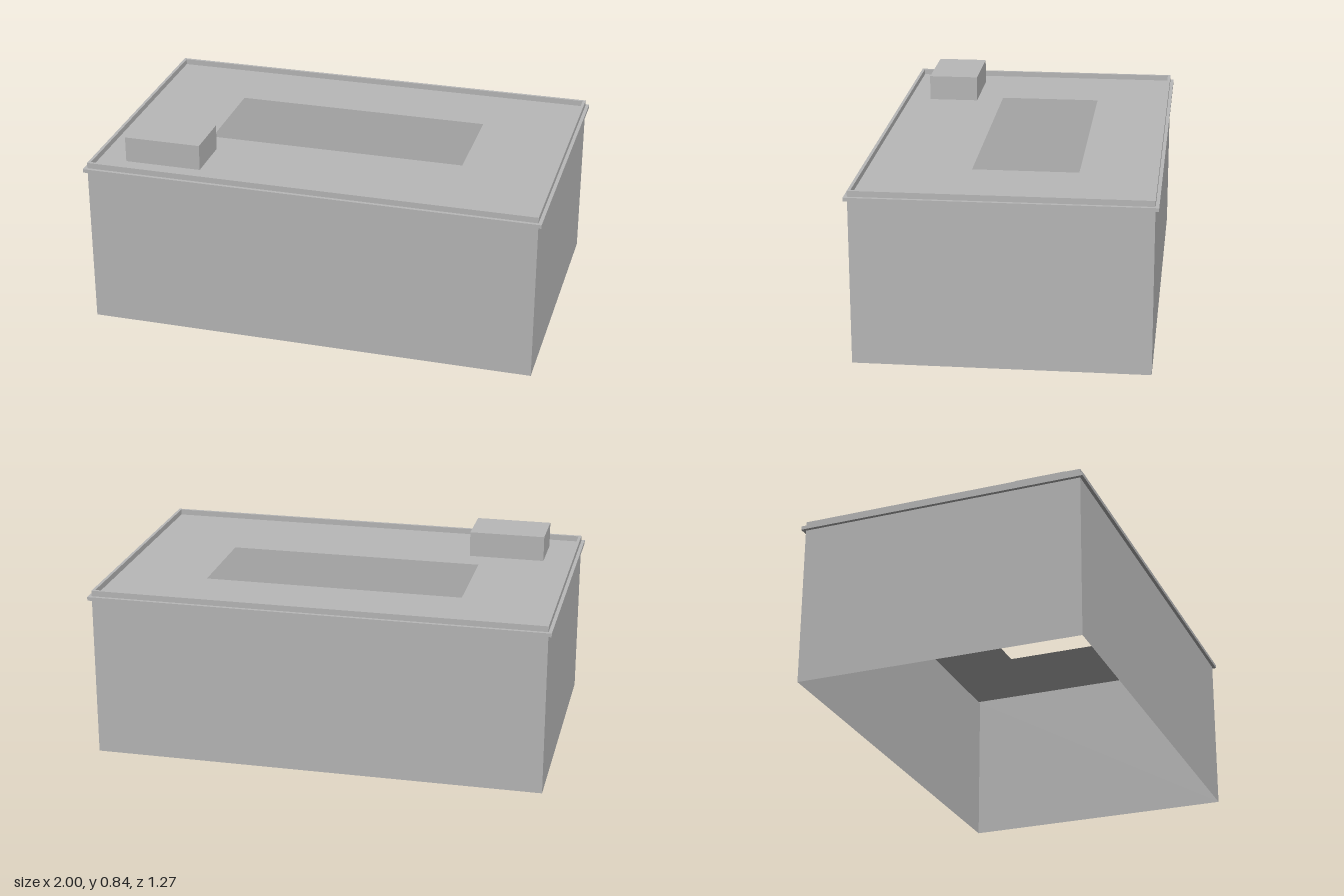
import * as THREE from 'three';

const HX = 0.985, HZ = 0.622; // half sizes of the wall outline
const DECK = 0.727;

// Sweep a profile of [outset, y] points around the rectangular outline, flat faced.
function rectSweep(profile) {
  const corners = [[1, 1], [1, -1], [-1, -1], [-1, 1]];
  const at = ([sx, sz], [out, y]) => [sx * (HX + out), y, sz * (HZ + out)];
  const pos = [];
  for (let i = 0; i < 4; i++) {
    const c = corners[i], d = corners[(i + 1) % 4];
    for (let j = 0; j < profile.length - 1; j++) {
      const p = profile[j], q = profile[j + 1];
      const a = at(c, p), b = at(d, p), e = at(d, q), f = at(c, q);
      pos.push(...a, ...b, ...e, ...a, ...e, ...f);
    }
  }
  const g = new THREE.BufferGeometry();
  g.setAttribute('position', new THREE.Float32BufferAttribute(pos, 3));
  g.computeVertexNormals();
  return g;
}

export function createModel() {
  const group = new THREE.Group();
  const concrete = new THREE.MeshStandardMaterial({ color: 0xb8b8b8, side: THREE.DoubleSide });
  concrete.name = 'concrete grey';

  const add = (name, geometry) => {
    const mesh = new THREE.Mesh(geometry, concrete);
    mesh.name = name;
    group.add(mesh);
    return mesh;
  };

  // Thin outer walls, open at the bottom
  add('walls', rectSweep([[0, 0], [0, 0.711]]));

  // Projecting band around the top of the walls
  add('cornice', rectSweep([[0, 0.711], [0.015, 0.711], [0.015, DECK], [0, DECK]]));

  // Low wall around the roof
  add('parapet', rectSweep([[0, DECK], [0, 0.752], [-0.013, 0.752], [-0.013, DECK]]));

  // Roof deck with a rectangular opening (shape y becomes -z)
  const rect = (T, x0, y0, x1, y1) => {
    const s = new T();
    s.moveTo(x0, y0).lineTo(x1, y0).lineTo(x1, y1).lineTo(x0, y1).closePath();
    return s;
  };
  const roof = rect(THREE.Shape, -HX, -HZ, HX, HZ);
  roof.holes.push(rect(THREE.Path, -0.57, -0.167, 0.57, 0.287));
  add('roofDeck', new THREE.ShapeGeometry(roof).rotateX(-Math.PI / 2).translate(0, DECK, 0));

  // Small plant room on the roof
  const h = 0.84 - DECK;
  add('roofHousing', new THREE.BoxGeometry(0.338, h, 0.225)).position.set(-0.68, DECK + h / 2, 0.398);

  return group;
}
